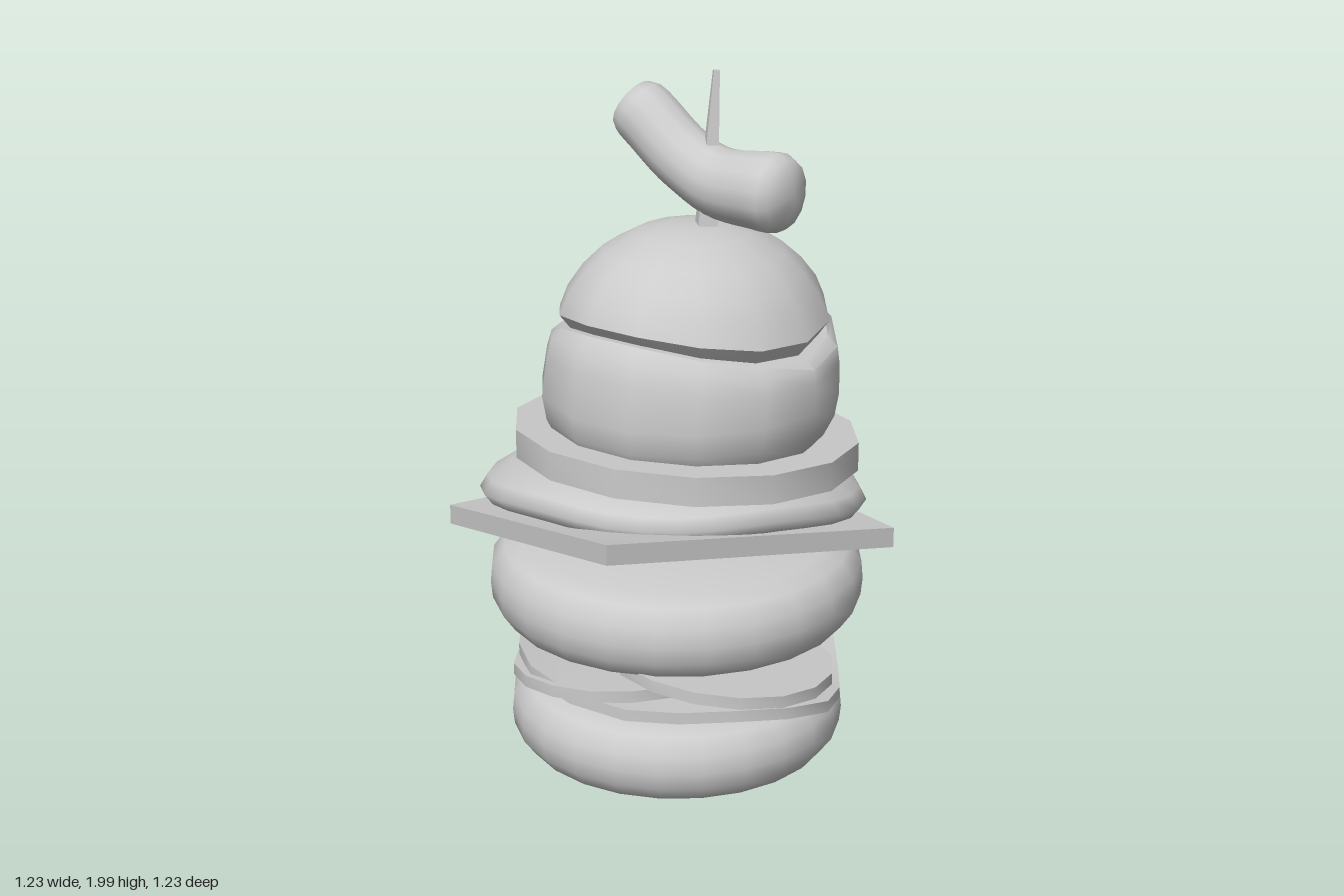
import * as THREE from 'three';
import { mergeVertices, toCreasedNormals } from 'three/addons/utils/BufferGeometryUtils.js';

const material = new THREE.MeshStandardMaterial({ color: 0xcccccc });
const lobe = (a, dir, power = 3) => Math.max(0, Math.cos(a - dir)) ** power;

function finish(name, geometry, crease = 0.7) {
  geometry.deleteAttribute('uv');
  geometry.deleteAttribute('normal');
  const mesh = new THREE.Mesh(toCreasedNormals(mergeVertices(geometry, 1e-4), crease), material);
  mesh.name = name;
  return mesh;
}

// Revolves a closed [radius, y] profile, then moves each vertex by warp(v, angle, radius)
function spun(name, profile, segments, [x, z], warp, crease) {
  const geometry = new THREE.LatheGeometry(profile.map(([r, y]) => new THREE.Vector2(r, y)), segments);
  const pos = geometry.attributes.position;
  const v = new THREE.Vector3();
  for (let i = 0; i < pos.count; i++) {
    v.fromBufferAttribute(pos, i);
    if (warp) warp(v, Math.atan2(v.z, v.x), Math.hypot(v.x, v.z));
    pos.setXYZ(i, v.x, v.y, v.z);
  }
  const mesh = finish(name, geometry, crease);
  mesh.position.set(x, 0, z);
  return mesh;
}

// Fat round layer with rounded rim
function pillow(name, radius, y0, y1, centre) {
  const h = y1 - y0;
  return spun(name, [
    [0, y0], [radius - 0.1, y0], [radius - 0.04, y0 + h * 0.1], [radius - 0.005, y0 + h * 0.3],
    [radius, y0 + h * 0.5], [radius - 0.005, y0 + h * 0.72], [radius - 0.04, y0 + h * 0.92],
    [radius - 0.1, y1], [0, y1]], 24, centre, null, 1.2);
}

// Thin round slice sloping by sx along x and sz along z
function slice(name, radius, thickness, [x, y, z], sx, sz, sides) {
  const t = thickness / 2;
  return spun(name, [[0, y - t], [radius, y - t], [radius, y + t], [0, y + t]], sides, [x, z],
    (v) => { v.y += sx * v.x + sz * v.z; }, 0.5);
}

// Square sheet draped between four corner heights
function cheeseSlice() {
  const geometry = new THREE.BoxGeometry(1, 0.06, 1, 6, 1, 6);
  const left = [-0.62, 0.85, 0.24], front = [0.24, 0.70, 0.61];
  const back = [-0.27, 0.64, -0.62], right = [0.61, 0.63, -0.27];
  const pos = geometry.attributes.position;
  for (let i = 0; i < pos.count; i++) {
    const u = pos.getX(i) + 0.5, w = pos.getZ(i) + 0.5, y = pos.getY(i);
    const p = [0, 1, 2].map((k) =>
      (back[k] * (1 - u) + right[k] * u) * (1 - w) + (left[k] * (1 - u) + front[k] * u) * w);
    pos.setXYZ(i, p[0], p[1] + y, p[2]);
  }
  return finish('cheeseSlice', geometry);
}

// Bent pickle: rings along a spine, with rounded ends
function pickle() {
  const spine = new THREE.CatmullRomCurve3([
    [0.11, 1.69, 0.34], [0.11, 1.69, 0.24], [0.115, 1.69, 0.08], [0.12, 1.745, -0.05],
    [0.125, 1.84, -0.18], [0.125, 1.885, -0.255]].map((p) => new THREE.Vector3(...p)));
  const rows = 22, sides = 14;
  const geometry = new THREE.CylinderGeometry(1, 1, 1, sides, rows, true);
  const pos = geometry.attributes.position;
  const across = new THREE.Vector3(1, 0, 0);
  for (let i = 0; i < pos.count; i++) {
    const t = THREE.MathUtils.clamp(0.5 - pos.getY(i), 0, 1);
    const end = Math.min(1, Math.min(t, 1 - t) / 0.14);
    const round = Math.pow(Math.max(0, 1 - (1 - end) ** 3), 0.5);
    const r = (0.094 + 0.026 * Math.max(0, 1 - t * 1.9)) * round;
    const p = spine.getPointAt(t);
    const up = new THREE.Vector3().crossVectors(spine.getTangentAt(t), across).normalize();
    p.addScaledVector(across, pos.getX(i) * r).addScaledVector(up, -pos.getZ(i) * r);
    pos.setXYZ(i, p.x, p.y, p.z);
  }
  const mesh = finish('pickle', geometry, 1.2);
  mesh.material = material.clone();
  mesh.material.side = THREE.DoubleSide;
  return mesh;
}

export function createModel() {
  const group = new THREE.Group();

  group.add(pillow('bottomBun', 0.49, 0.005, 0.24, [-0.015, 0.03]));

  // Lettuce leaf drooping at the front corner
  group.add(spun('lettuce', [[0, 0.255], [0.25, 0.255], [0.5, 0.26], [0.5, 0.295], [0.25, 0.29], [0, 0.29]],
    20, [0, 0.03], (v, a, r) => {
      const k = (r / 0.5) ** 2;
      const s = 1 + 0.06 * Math.cos(4 * a - 0.6);
      v.set(v.x * s, v.y + k * (0.02 * Math.sin(4 * a) - 0.06 * Math.cos(a - 0.6)), v.z * s);
    }, 0.6));

  // Three overlapping vegetable slices
  group.add(slice('backSlice', 0.3, 0.035, [-0.24, 0.31, -0.02], -0.1, 0.08, 16));
  group.add(slice('sideSlice', 0.34, 0.035, [0.235, 0.345, -0.1], 0.09, -0.13, 16));
  group.add(slice('frontSlice', 0.325, 0.035, [-0.155, 0.385, 0.285], -0.11, -0.06, 16));

  group.add(pillow('patty', 0.545, 0.41, 0.66, [-0.01, 0.025]));
  group.add(cheeseSlice());

  // Fried egg with two drooping lobes
  group.add(spun('egg', [[0, 0.79], [0.25, 0.79], [0.4, 0.785], [0.46, 0.8], [0.48, 0.835],
    [0.46, 0.87], [0.4, 0.895], [0.25, 0.905], [0, 0.905]], 28, [0, 0], (v, a, r) => {
    const front = lobe(a, 0.7), back = lobe(a, -1.7);
    const s = 0.95 + 0.25 * front + 0.29 * back;
    const droop = 0.1 * (front + back) * (r / 0.48) ** 2;
    v.set(v.x * s, v.y - droop, v.z * s);
  }, 1.3));

  group.add(slice('tomatoSlice', 0.5, 0.085, [0.03, 0.935, 0.03], -0.09, 0, 14));

  // Top bun body with a wavy cut edge
  group.add(spun('topBunBase', [[0, 0.93], [0.33, 0.935], [0.39, 0.97], [0.42, 1.03], [0.432, 1.1],
    [0.425, 1.2], [0.415, 1.255], [0.385, 1.285], [0, 1.285]], 14, [0.045, 0.03], (v, a, r) => {
    const k = Math.max(0, v.y - 1.1) / 0.17 * Math.min(1, r / 0.38);
    v.x += 0.02 * k;
    v.y += 0.037 * k * Math.cos(2 * a);
  }, 0.75));

  // Dome with a matching wavy rim
  group.add(spun('topBunDome', [[0, 1.28], [0.36, 1.285], [0.39, 1.325], [0.365, 1.385], [0.32, 1.445],
    [0.26, 1.5], [0.16, 1.55], [0.08, 1.566], [0, 1.57]], 14, [0.07, 0.025], (v, a, r) => {
    v.y += 0.03 * Math.cos(2 * a) * Math.max(0, (1.57 - v.y) / 0.25) * Math.min(1, r / 0.36);
  }, 0.75));

  group.add(pickle());

  // Square tapered pick leaning slightly
  const pick = finish('pick', new THREE.CylinderGeometry(0.012, 0.045, 0.52, 4, 1), 0.4);
  pick.position.set(0.115, 1.74, 0.05);
  pick.rotation.z = -0.1;
  group.add(pick);

  return group;
}
